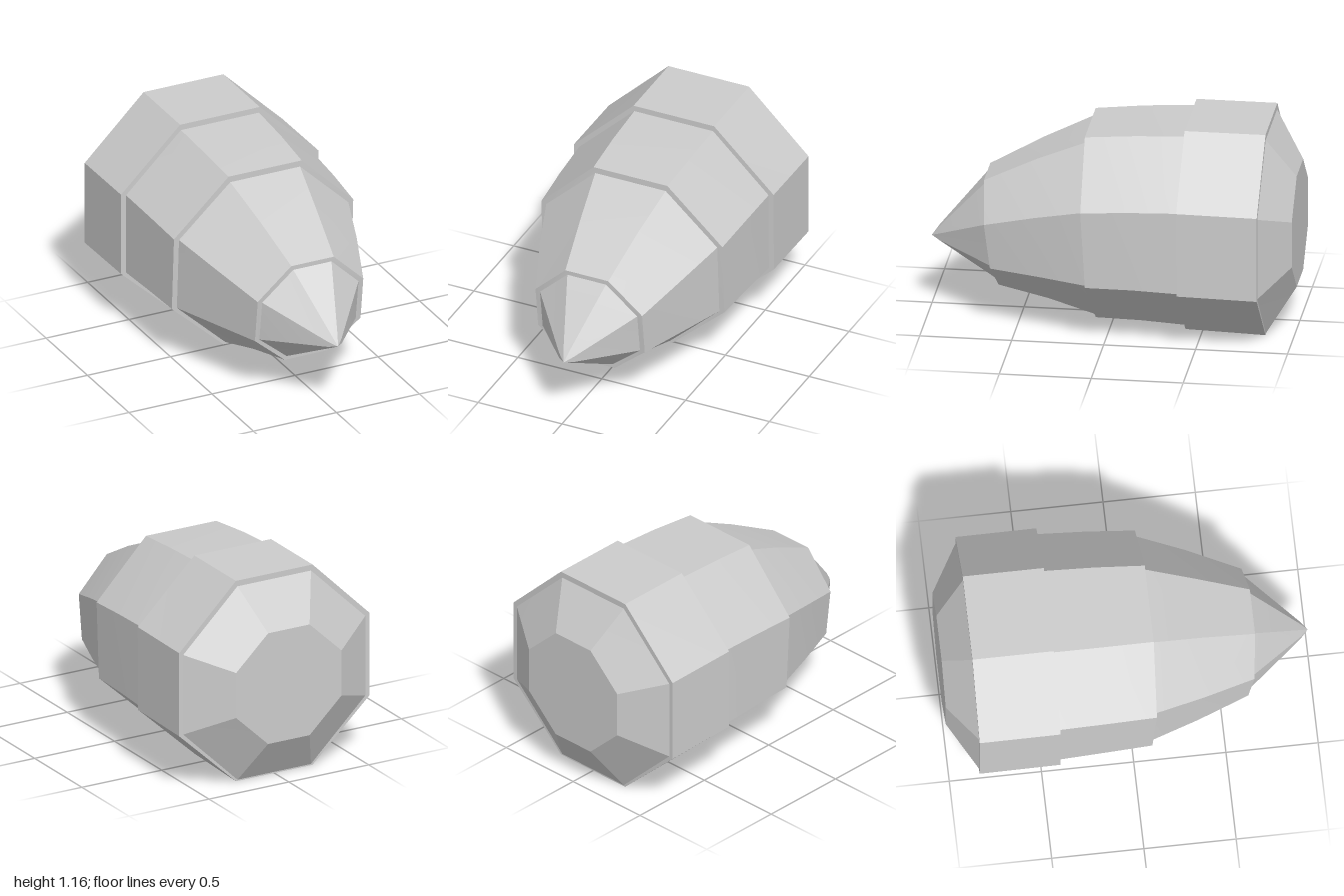
import * as THREE from 'three';
import { toCreasedNormals } from 'three/addons/utils/BufferGeometryUtils.js';

// Octagonal cross-section, counter-clockwise from the front; z leans from bottom to top
function ring([zTop, zBottom, top, upper, lower, bottom, w, flat, dx = 0]) {
  const corners = [
    [w, lower], [w, upper], [flat, top], [-flat, top],
    [-w, upper], [-w, lower], [-flat, bottom], [flat, bottom],
  ];
  return corners.map(([x, y]) => {
    const t = top > bottom ? (y - bottom) / (top - bottom) : 0;
    return new THREE.Vector3(x + dx, y, zBottom + (zTop - zBottom) * t);
  });
}

// Ring collapsed to a single point, used for the tip and to close the rear
const point = (x, y, z) => [z, z, y, y, y, y, 0, 0, x];

// Skin a list of cross-sections running from back to front
function loft(name, sections, material) {
  const rings = sections.map(ring);
  const positions = [];
  const triangle = (a, b, c) => {
    if (a.equals(b) || b.equals(c) || c.equals(a)) return;
    for (const v of [a, b, c]) positions.push(v.x, v.y, v.z);
  };
  for (let i = 0; i < rings.length - 1; i++) {
    for (let k = 0; k < 8; k++) {
      const n = (k + 1) % 8;
      triangle(rings[i][k], rings[i][n], rings[i + 1][n]);
      triangle(rings[i][k], rings[i + 1][n], rings[i + 1][k]);
    }
  }
  const geometry = new THREE.BufferGeometry();
  geometry.setAttribute('position', new THREE.Float32BufferAttribute(positions, 3));
  const mesh = new THREE.Mesh(toCreasedNormals(geometry, 0.35), material);
  mesh.name = name;
  return mesh;
}

export function createModel() {
  const group = new THREE.Group();
  group.name = 'segmentedShell';
  const material = new THREE.MeshStandardMaterial({ color: 0xcccccc, side: THREE.DoubleSide });

  // Section columns: zTop, zBottom, top, upper, lower, bottom, half width, half flat, x shift
  const rearInner = [-0.405, -0.41, 1.13, 0.81, 0.345, 0.04, 0.565, 0.235];
  const middleInner = [0.14, 0.08, 1.055, 0.765, 0.345, 0.065, 0.51, 0.21];
  const frontInner = [0.70, 0.62, 0.755, 0.585, 0.348, 0.20, 0.29, 0.115, 0.005];

  // Rear segment: flat end, bevel, thin rim, straight wall and front lip
  group.add(loft('rearSegment', [
    point(0, 0.57, -1),
    [-1, -1, 0.89, 0.70, 0.44, 0.25, 0.33, 0.13],
    [-0.845, -0.845, 1.13, 0.80, 0.34, 0.012, 0.57, 0.23],
    [-0.845, -0.845, 1.163, 0.815, 0.335, 0.005, 0.595, 0.24],
    [-0.405, -0.41, 1.163, 0.82, 0.343, 0.018, 0.595, 0.24],
    rearInner,
  ], material));

  // Middle segment: slightly bulging wall and front lip
  group.add(loft('middleSegment', [
    rearInner,
    [-0.13, -0.17, 1.115, 0.797, 0.35, 0.052, 0.555, 0.23],
    [0.14, 0.08, 1.09, 0.775, 0.345, 0.053, 0.54, 0.22],
    middleInner,
  ], material));

  // Front segment: tapering wall and front lip
  group.add(loft('frontSegment', [
    middleInner,
    [0.41, 0.34, 0.932, 0.69, 0.35, 0.13, 0.425, 0.17, 0.002],
    [0.70, 0.62, 0.78, 0.595, 0.345, 0.18, 0.318, 0.128, 0.006],
    frontInner,
  ], material));

  // Pointed nose with a small blunter tip
  group.add(loft('nose', [
    frontInner,
    [0.96, 0.955, 0.455, 0.425, 0.39, 0.377, 0.045, 0.018, 0.008],
    point(0.01, 0.4, 1),
  ], material));

  return group;
}
